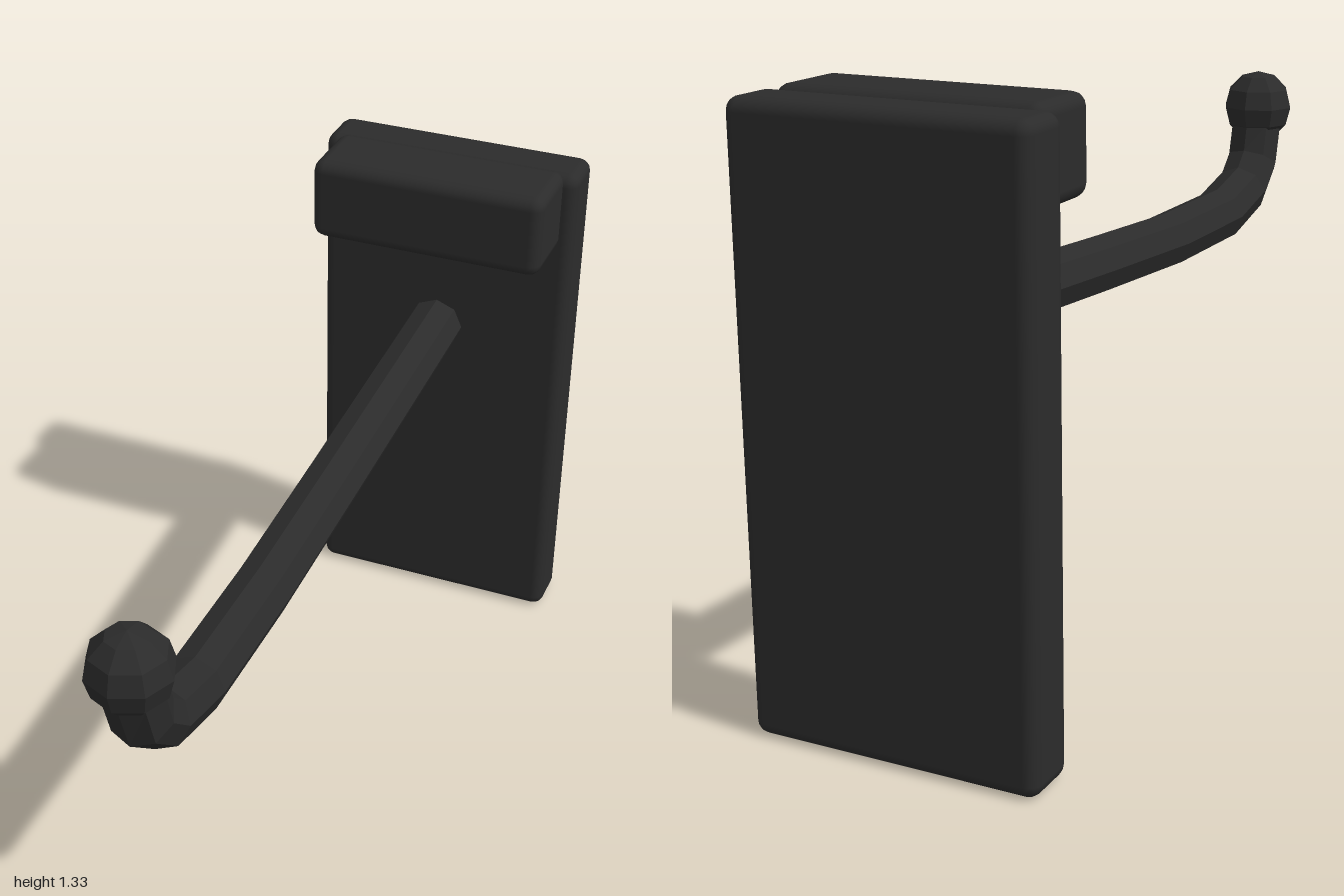
import * as THREE from 'three';
import { RoundedBoxGeometry } from 'three/addons/geometries/RoundedBoxGeometry.js';

const SIDES = 8;

// Faceted rod swept along [z, y] points in the x = 0 plane, closed at both ends.
function rodGeometry(path, radius) {
  const positions = [];
  const index = [];
  path.forEach(([z, y], i) => {
    const a = path[Math.max(i - 1, 0)];
    const b = path[Math.min(i + 1, path.length - 1)];
    const angle = Math.atan2(b[1] - a[1], b[0] - a[0]);
    for (let j = 0; j < SIDES; j++) {
      const t = (j / SIDES) * Math.PI * 2;
      const up = Math.sin(t) * radius;
      positions.push(Math.cos(t) * radius, y + up * Math.cos(angle), z - up * Math.sin(angle));
    }
  });
  for (let i = 0; i < path.length - 1; i++) {
    for (let j = 0; j < SIDES; j++) {
      const k = (j + 1) % SIDES;
      const a = i * SIDES + j, b = i * SIDES + k;
      index.push(a, b, b + SIDES, a, b + SIDES, a + SIDES);
    }
  }
  const last = (path.length - 1) * SIDES;
  for (let j = 1; j < SIDES - 1; j++) {
    index.push(0, j + 1, j, last, last + j, last + j + 1);
  }
  const geometry = new THREE.BufferGeometry();
  geometry.setAttribute('position', new THREE.Float32BufferAttribute(positions, 3));
  geometry.setIndex(index);
  const flat = geometry.toNonIndexed();
  flat.computeVertexNormals();
  return flat;
}

export function createModel() {
  const model = new THREE.Group();
  model.name = 'wallHook';

  const blackMetal = new THREE.MeshStandardMaterial({ color: 0x2b2b2b });
  blackMetal.name = 'black metal';

  const add = (name, geometry, x = 0, y = 0, z = 0) => {
    const mesh = new THREE.Mesh(geometry, blackMetal);
    mesh.name = name;
    mesh.position.set(x, y, z);
    model.add(mesh);
  };

  // Upright mounting plate and the bar across its top
  add('backPlate', new RoundedBoxGeometry(0.66, 1.32, 0.14, 2, 0.03), 0, 0.66, -0.93);
  add('topBar', new RoundedBoxGeometry(0.59, 0.205, 0.2, 2, 0.03), 0, 1.228, -0.785);

  // Long arm that dips gently, then turns up at the front
  add('arm', rodGeometry([
    [-0.82, 0.875], [-0.1, 0.828], [0.3, 0.805], [0.64, 0.805],
    [0.8, 0.845], [0.87, 0.91], [0.895, 1.0], [0.905, 1.05],
  ], 0.068));

  // Faceted ball on the tip
  const ball = new THREE.SphereGeometry(0.093, 8, 6).toNonIndexed();
  ball.computeVertexNormals();
  add('tipBall', ball, 0, 1.053, 0.905);

  return model;
}
